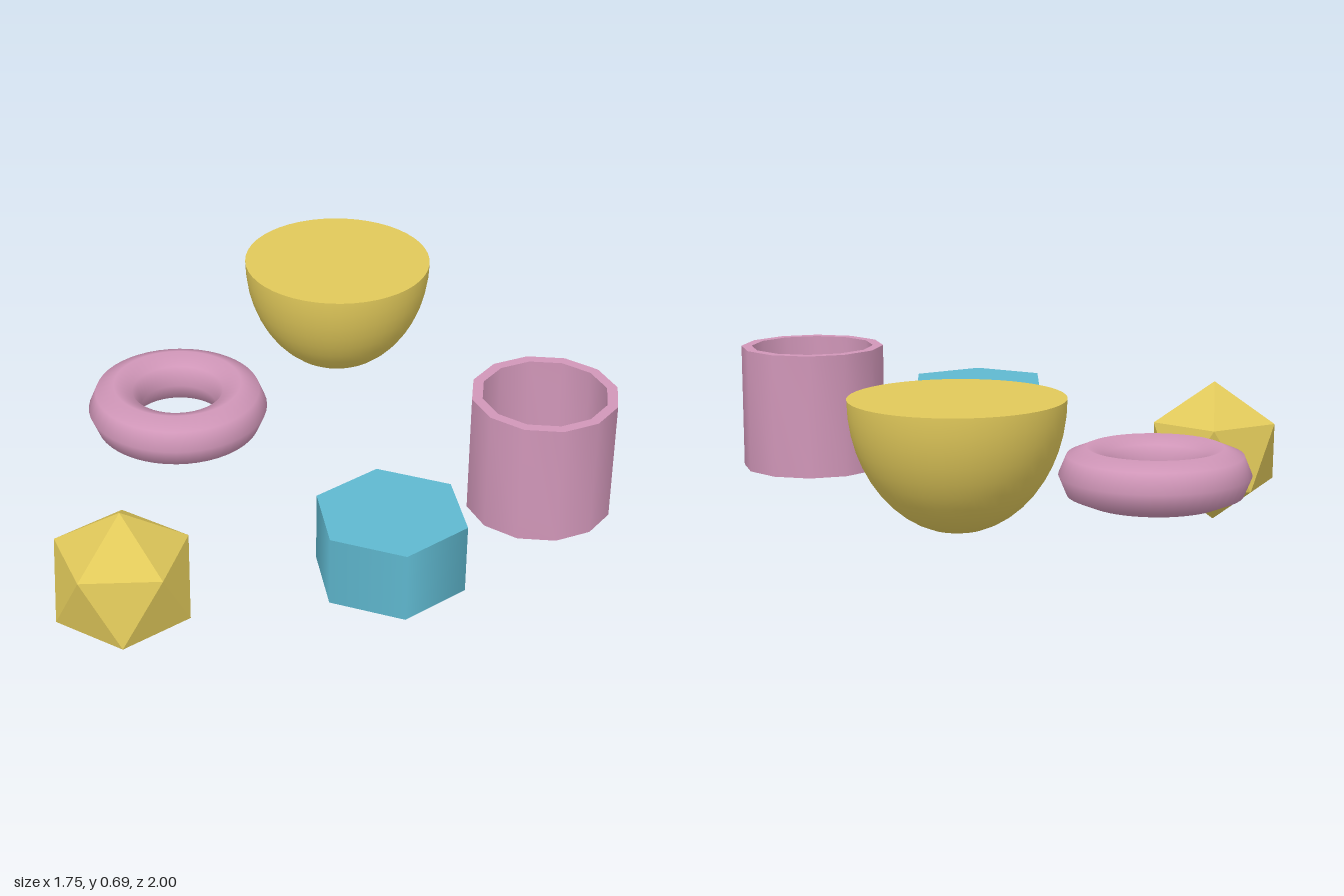
import * as THREE from 'three';
import { mergeGeometries, toCreasedNormals } from 'three/addons/utils/BufferGeometryUtils.js';

const YELLOW = 0xe0c85a, PINK = 0xd096b8, BLUE = 0x5fb8cf;

function part(name, geometry, color, x, y, z, flatShading = false) {
  const mesh = new THREE.Mesh(geometry, new THREE.MeshStandardMaterial({ color, flatShading }));
  mesh.name = name;
  mesh.position.set(x, y, z);
  return mesh;
}

// Deep half-ellipsoid closed by a flat disc
function bowlGeometry(radius, depth) {
  const shell = new THREE.SphereGeometry(radius, 48, 12, 0, Math.PI * 2, Math.PI / 2, Math.PI / 2);
  shell.scale(1, depth / radius, 1);
  const lid = new THREE.CircleGeometry(radius, 48).rotateX(-Math.PI / 2);
  return mergeGeometries([shell, lid]);
}

// Open tube with wall thickness, turned from a closed rectangular profile
function tubeGeometry(outer, inner, height, sides) {
  const profile = [[inner, 0], [outer, 0], [outer, height], [inner, height], [inner, 0]]
    .map(([r, y]) => new THREE.Vector2(r, y));
  return toCreasedNormals(new THREE.LatheGeometry(profile, sides), Math.PI / 4);
}

export function createModel() {
  const group = new THREE.Group();
  group.name = 'solids';

  group.add(part('bowl', bowlGeometry(0.339, 0.42), YELLOW, -0.54, 0.69, -0.661));
  group.add(part('tube', tubeGeometry(0.248, 0.212, 0.425, 12), PINK, 0.626, 0.265, -0.584));

  const ring = new THREE.TorusGeometry(0.226, 0.092, 8, 48).rotateX(Math.PI / 2);
  group.add(part('ring', ring, PINK, -0.52, 0.361, 0.092));

  // Smooth-shaded hexagonal prism, corners towards front and back
  const prism = new THREE.CylinderGeometry(0.256, 0.256, 0.242, 6);
  group.add(part('hexPrism', prism, BLUE, 0.634, 0.385, 0.092));

  // Icosahedron turned to stand on one corner
  const gem = new THREE.IcosahedronGeometry(0.257, 0);
  gem.rotateZ(-Math.atan(2 / (1 + Math.sqrt(5))));
  group.add(part('icosahedron', gem, YELLOW, 0.103, 0.257, 0.781, true));

  return group;
}
